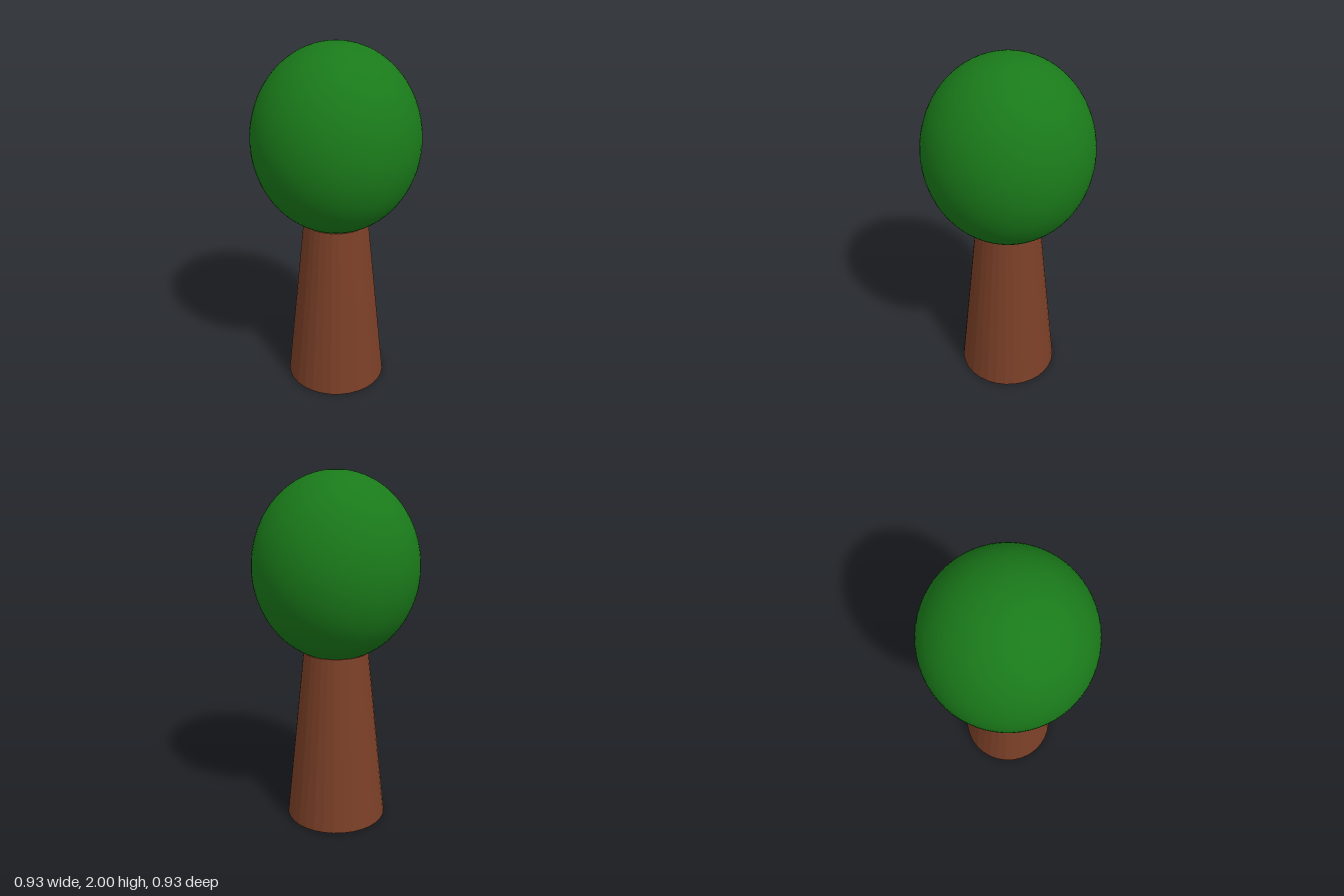
import * as THREE from 'three';

export function createModel() {
  const tree = new THREE.Group();
  tree.name = 'tree';

  const addPart = (name, geometry, color, y, flatShading = false) => {
    const material = new THREE.MeshStandardMaterial({ color, flatShading });
    const mesh = new THREE.Mesh(geometry, material);
    mesh.name = name;
    mesh.position.y = y;
    tree.add(mesh);
    return mesh;
  };

  // Tapered, faceted trunk
  addPart('trunk', new THREE.CylinderGeometry(0.185, 0.29, 1, 32), 0x7a3f27, 0.5, true);

  // Slightly tall, smooth crown that dips into the top of the trunk
  const crown = addPart('crown', new THREE.SphereGeometry(1, 64, 48), 0x1a7a1a, 1.48);
  crown.scale.set(0.465, 0.52, 0.465);

  return tree;
}
